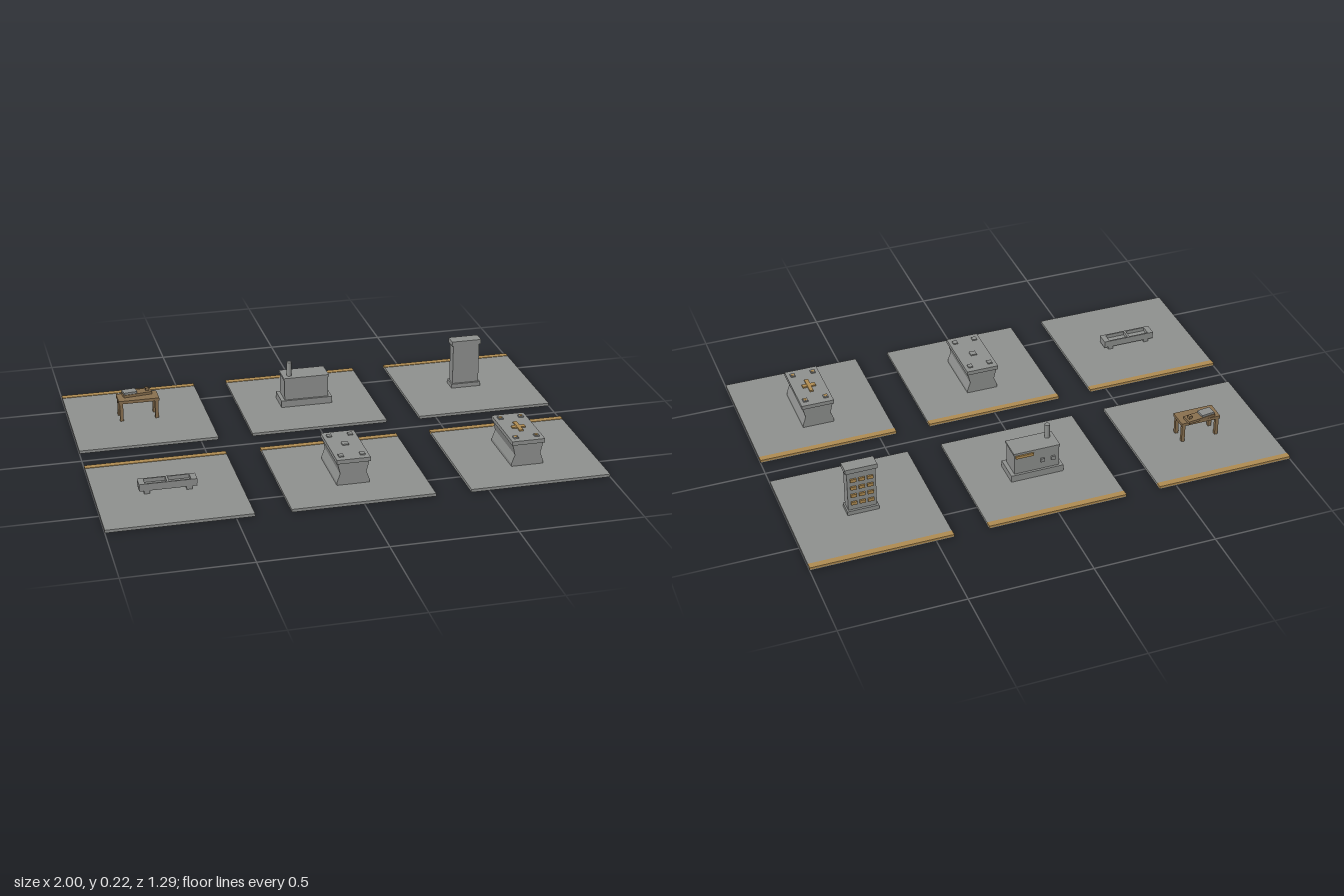
import * as THREE from 'three';

const mat = (name, color) => Object.assign(new THREE.MeshStandardMaterial({ color }), { name });

export function createModel() {
  const stone = mat('stone grey', 0x8f918f);
  const wood = mat('weathered wood', 0x8a7150);
  const brass = mat('brass', 0xb08c52);
  const root = new THREE.Group();
  root.name = 'graveyardProps';
  const TOP = 0.012;

  // Box given by centre x/z, bottom y and sizes
  function box(parent, name, m, w, h, d, x, y, z) {
    const mesh = new THREE.Mesh(new THREE.BoxGeometry(w, h, d), m);
    mesh.name = name;
    mesh.position.set(x, y + h / 2, z);
    parent.add(mesh);
    return mesh;
  }

  // Square ground tile with a brass strip along the back edge
  function tile(name, col, row) {
    const g = new THREE.Group();
    g.name = name;
    g.position.set(col * 0.714, 0, row * 0.357);
    box(g, 'groundTile', stone, 0.572, TOP, 0.57, 0, 0, 0);
    box(g, 'backStrip', brass, 0.572, 0.009, 0.026, 0, 0.005, -0.273);
    root.add(g);
    return g;
  }

  // Table with a tilted slab on it
  const table = tile('tableTile', -1, -1);
  box(table, 'tableTop', wood, 0.17, 0.013, 0.082, 0, 0.09, -0.003);
  for (const sx of [-1, 1]) {
    for (const sz of [-1, 1]) box(table, 'tableLeg', wood, 0.014, 0.08, 0.014, sx * 0.074, TOP, -0.003 + sz * 0.031);
    box(table, 'tableRail', wood, 0.006, 0.012, 0.062, sx * 0.074, 0.078, -0.003);
  }
  const book = new THREE.Group();
  book.name = 'book';
  book.position.set(0, 0.103, -0.025);
  book.rotation.y = 0.13;
  box(book, 'cover', wood, 0.122, 0.011, 0.045, 0, 0, 0);
  box(book, 'page', stone, 0.056, 0.009, 0.04, -0.031, 0.011, 0);
  box(book, 'clasp', wood, 0.014, 0.013, 0.014, 0.045, 0.011, 0);
  table.add(book);

  // Chest-like altar on a plinth with a round post
  const altar = tile('altarTile', 0, -1);
  box(altar, 'plinth', stone, 0.22, 0.029, 0.111, -0.002, TOP, 0.002);
  box(altar, 'altarBody', stone, 0.188, 0.091, 0.092, -0.002, 0.041, 0.002);
  box(altar, 'altarTop', stone, 0.195, 0.009, 0.098, -0.002, 0.131, 0.002);
  const post = new THREE.Mesh(new THREE.CylinderGeometry(0.011, 0.011, 0.062, 12), stone);
  post.name = 'post';
  post.position.set(-0.07, 0.17, 0.019);
  altar.add(post);
  box(altar, 'backBand', brass, 0.075, 0.012, 0.007, 0.05, 0.116, -0.047);
  for (const x of [-0.07, -0.025]) box(altar, 'backKnob', stone, 0.016, 0.016, 0.008, x, 0.075, -0.047);

  // Tall pillar with rows of brass plates on the back
  const pillar = tile('pillarTile', 1, -1);
  box(pillar, 'pillarBase', stone, 0.128, 0.018, 0.064, -0.003, TOP, 0);
  box(pillar, 'pillarShaft', stone, 0.116, 0.18, 0.046, -0.003, 0.028, 0);
  box(pillar, 'pillarCap', stone, 0.13, 0.02, 0.055, -0.003, 0.205, 0);
  for (let r = 0; r < 4; r++) {
    for (let c = -1; c <= 1; c++) box(pillar, 'backPlate', brass, 0.024, 0.014, 0.008, -0.003 + c * 0.034, 0.055 + r * 0.036, -0.026);
  }

  // Open trough with two compartments on feet
  const trough = tile('troughTile', -1, 1);
  box(trough, 'troughFloor', stone, 0.226, 0.014, 0.052, 0, 0.026, -0.003);
  for (const s of [-1, 1]) {
    box(trough, 'troughSide', stone, 0.226, 0.022, 0.006, 0, 0.034, -0.003 + s * 0.024);
    box(trough, 'troughEnd', stone, 0.024, 0.022, 0.05, s * 0.102, 0.034, -0.003);
    box(trough, 'troughFoot', stone, 0.022, 0.015, 0.046, s * 0.083, TOP, -0.003);
  }
  box(trough, 'divider', stone, 0.009, 0.022, 0.048, 0, 0.034, -0.003);

  // Tomb with a pinched body, lid and raised ornaments
  function tomb(name, col, ornate) {
    const g = tile(name, col, 1);
    const half = [[0.066, 0], [0.066, 0.012], [0.053, 0.048], [0.064, 0.094]];
    const outline = [...half, ...half.map(([x, y]) => [-x, y]).reverse()];
    const shape = new THREE.Shape(outline.map(([x, y]) => new THREE.Vector2(x, y)));
    const body = new THREE.Mesh(new THREE.ExtrudeGeometry(shape, { depth: 0.25, bevelEnabled: false }), stone);
    body.name = 'tombBody';
    body.position.set(-0.003, TOP, -0.125);
    g.add(body);
    box(g, 'tombLid', stone, 0.136, 0.017, 0.263, -0.003, 0.105, 0);
    for (const sx of [-1, 1]) {
      for (const sz of [-1, 1]) {
        box(g, 'cornerStud', stone, 0.02, 0.005, 0.022, -0.003 + sx * 0.043, 0.122, sz * 0.095);
        if (ornate) box(g, 'studInlay', brass, 0.012, 0.001, 0.012, -0.003 + sx * 0.043, 0.127, sz * 0.095);
      }
    }
    if (ornate) {
      box(g, 'crossLong', brass, 0.016, 0.006, 0.085, -0.003, 0.122, 0);
      box(g, 'crossShort', brass, 0.055, 0.0055, 0.02, -0.003, 0.122, 0.002);
    } else {
      box(g, 'centreStud', stone, 0.026, 0.005, 0.026, -0.003, 0.122, -0.01);
    }
  }
  tomb('plainTombTile', 0, false);
  tomb('ornateTombTile', 1, true);

  return root;
}
